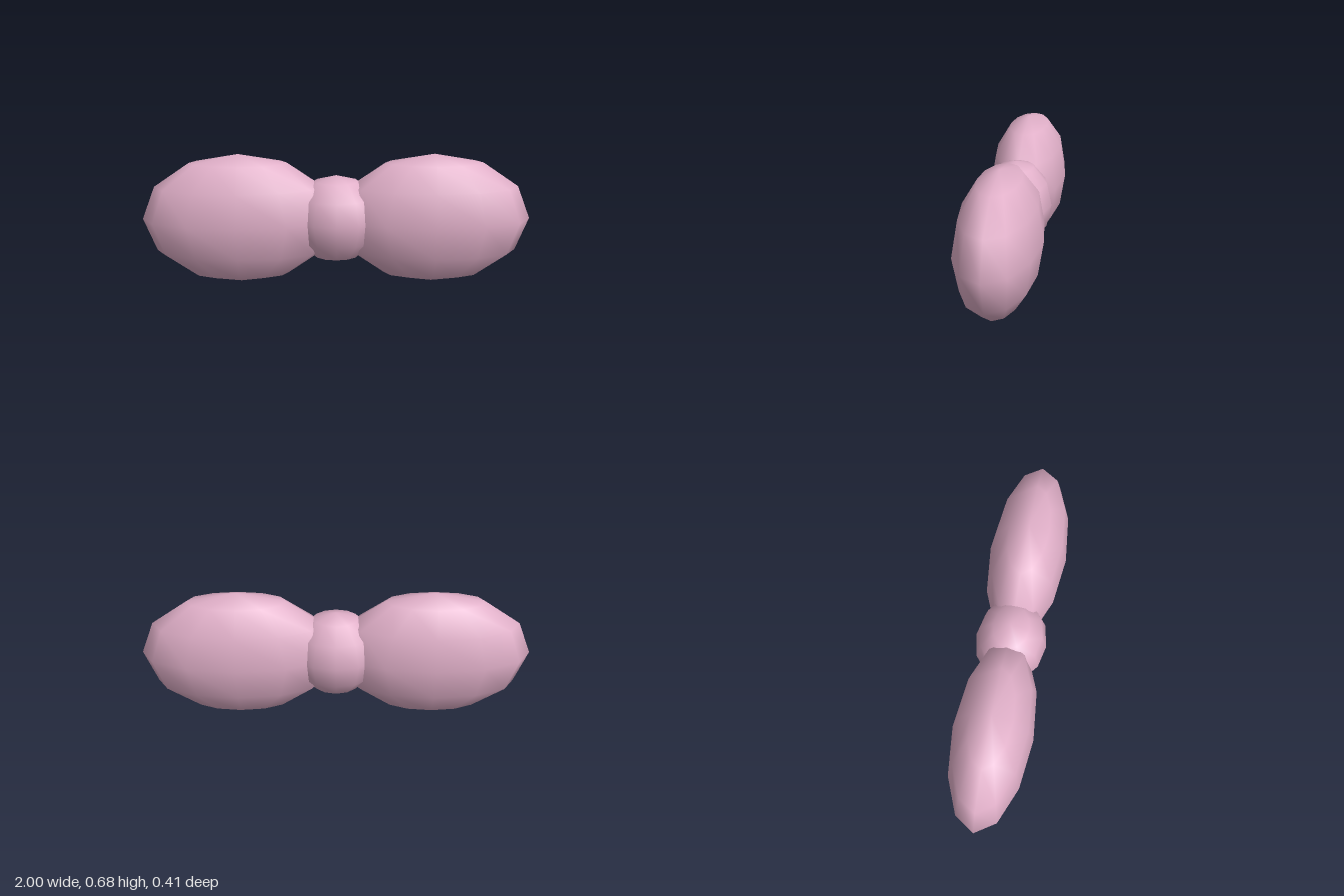
import * as THREE from 'three';

export function createModel() {
  const group = new THREE.Group();
  group.name = 'bowTie';
  const pink = new THREE.MeshStandardMaterial({ color: 0xe0afc8 });
  pink.name = 'softPink';

  // Coarse sphere with smooth normals, shared by every part
  const sphere = new THREE.SphereGeometry(1, 12, 6);

  const addEllipsoid = (name, x, rx, ry, rz) => {
    const mesh = new THREE.Mesh(sphere, pink);
    mesh.name = name;
    mesh.position.set(x, 0.341, 0);
    mesh.scale.set(rx, ry, rz);
    group.add(mesh);
  };

  // Two flattened loops meeting at the middle
  addEllipsoid('leftLoop', 0.5, 0.5, 0.341, 0.205);
  addEllipsoid('rightLoop', -0.5, 0.5, 0.341, 0.205);

  // Central knot
  addEllipsoid('knot', 0, 0.23, 0.23, 0.184);

  return group;
}
